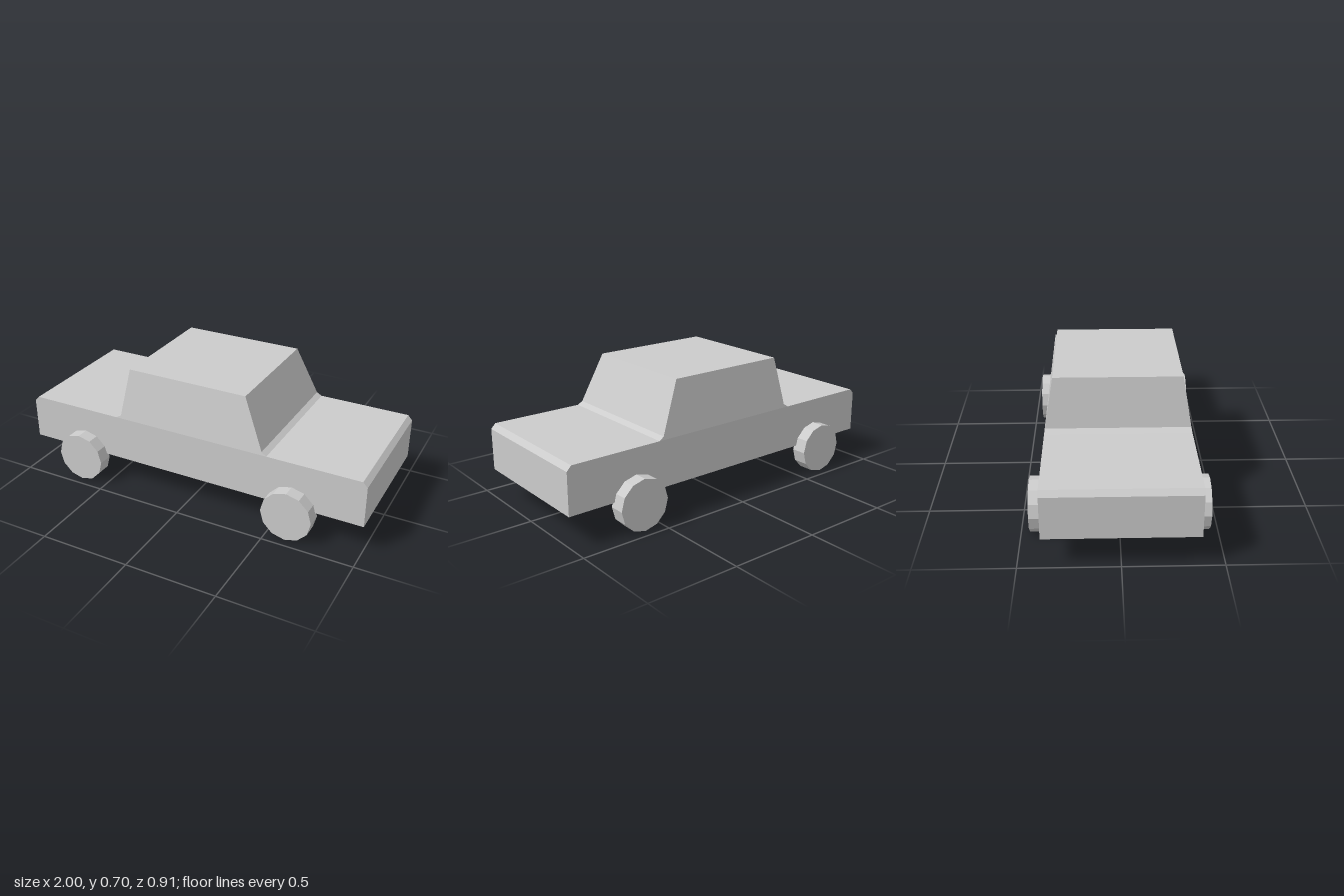
import * as THREE from 'three';

const material = new THREE.MeshStandardMaterial({ color: 0xcccccc, flatShading: true });
const HALF_WIDTH = 0.383, ROOF_HALF_WIDTH = 0.335, DECK_Y = 0.42, ROOF_Y = 0.705;

// Side profile extruded across the car, centred on z = 0
function extrudeProfile(points) {
  const shape = new THREE.Shape(points.map(([x, y]) => new THREE.Vector2(x, y)));
  return new THREE.ExtrudeGeometry(shape, { depth: HALF_WIDTH * 2, bevelEnabled: false })
    .translate(0, 0, -HALF_WIDTH);
}

function addMesh(parent, name, geometry) {
  const mesh = new THREE.Mesh(geometry, material);
  mesh.name = name;
  parent.add(mesh);
  return mesh;
}

export function createModel() {
  const car = new THREE.Group();
  car.name = 'car';

  // Lower body with chamfered bonnet and boot edges
  addMesh(car, 'lowerBody', extrudeProfile([
    [-1, 0.165], [1, 0.165], [1, 0.393], [0.975, DECK_Y], [-0.975, DECK_Y], [-1, 0.393],
  ]));

  // Cabin with a small flare at the base of each screen
  const cabin = extrudeProfile([
    [-0.44, DECK_Y], [0.465, DECK_Y], [0.437, 0.438],
    [0.32, ROOF_Y], [-0.365, ROOF_Y], [-0.41, 0.438],
  ]);
  // Lean the sides inward towards the roof
  const pos = cabin.attributes.position;
  for (let i = 0; i < pos.count; i++) {
    const t = (pos.getY(i) - DECK_Y) / (ROOF_Y - DECK_Y);
    pos.setZ(i, Math.sign(pos.getZ(i)) * THREE.MathUtils.lerp(HALF_WIDTH, ROOF_HALF_WIDTH, t));
  }
  cabin.computeVertexNormals();
  addMesh(car, 'cabin', cabin);

  // Four twelve-sided wheels
  const wheel = new THREE.CylinderGeometry(0.14, 0.14, 0.085, 12).rotateX(Math.PI / 2);
  for (const [end, x] of [['rear', -0.655], ['front', 0.61]]) {
    for (const [side, z] of [['Near', 0.411], ['Far', -0.411]]) {
      addMesh(car, `${end}${side}Wheel`, wheel).position.set(x, 0.14, z);
    }
  }
  return car;
}
